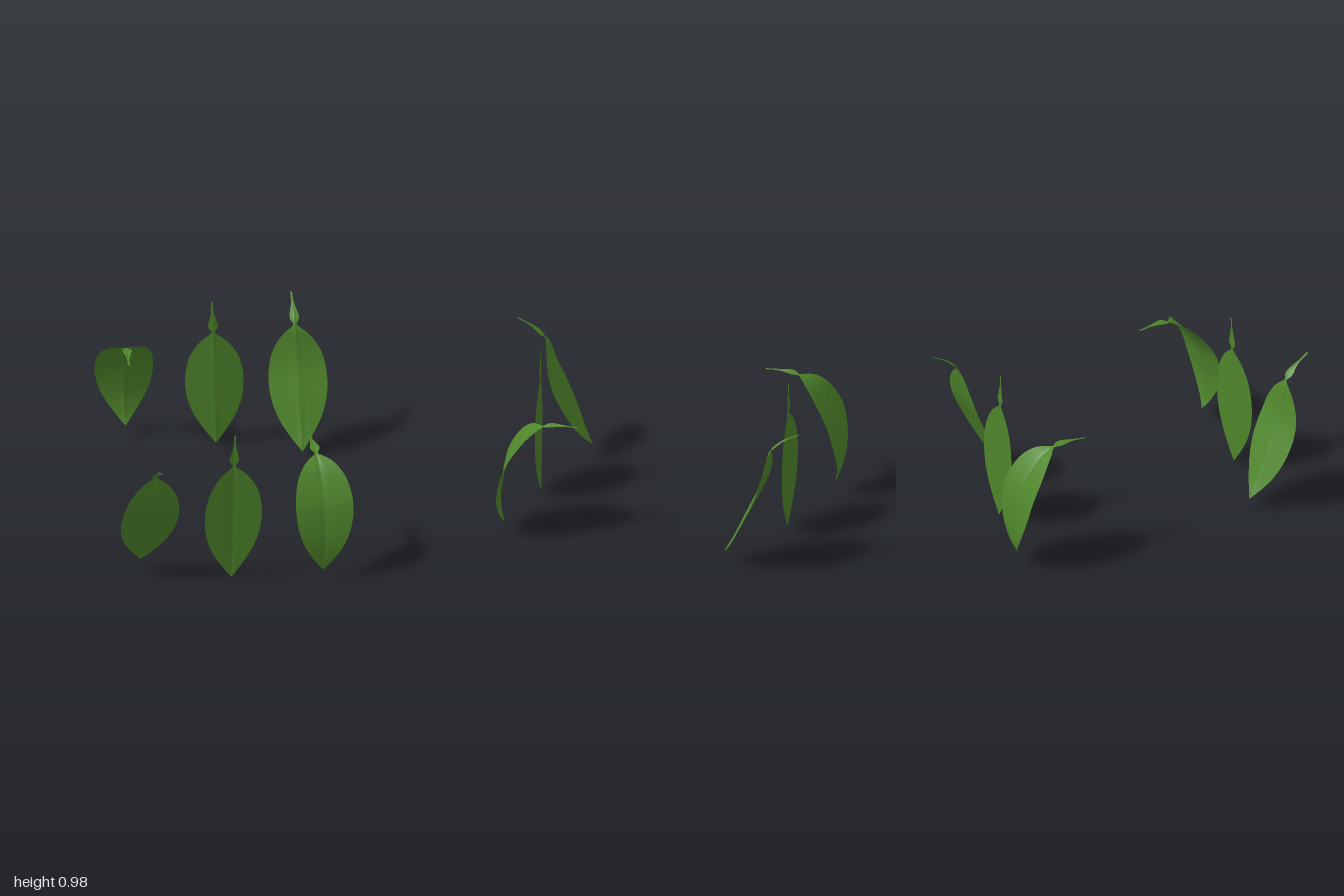
import * as THREE from 'three';

// leaf outline: [distance along the spine 0..1, half width]
const OUTLINE = [
  [0, 0.006], [0.07, 0.008], [0.12, 0.018], [0.165, 0.029], [0.19, 0.024], [0.215, 0.01],
  [0.235, 0.026], [0.27, 0.066], [0.32, 0.107], [0.4, 0.148], [0.5, 0.17], [0.58, 0.174],
  [0.66, 0.167], [0.74, 0.148], [0.82, 0.116], [0.9, 0.07], [0.96, 0.03], [1, 0.002],
];

// positions across the blade, with a narrow groove at the midrib
const ACROSS = [-1, -0.7, -0.35, -0.05, 0, 0.05, 0.35, 0.7, 1];

// spines from stem tip to leaf tip, as [y, z]
const LEAVES = [
  {
    name: 'fallingLeaf', x: -0.49,
    spine: [[0.912, 0.2], [0.85, 0.095], [0.78, 0.03], [0.66, 0], [0.545, -0.03],
      [0.36, -0.11], [0.17, -0.195], [0.075, -0.245]],
  },
  { name: 'straightLeaf', x: 0, spine: [[0.985, 0], [0.75, 0], [0.4, 0], [0.02, 0]] },
  {
    name: 'archingLeaf', x: 0.522,
    spine: [[0.75, -0.29], [0.757, -0.2], [0.748, -0.1], [0.695, 0], [0.52, 0.12],
      [0.36, 0.163], [0.25, 0.175], [0.14, 0.168], [0.08, 0.15]],
  },
];

function leafGeometry(spine) {
  const last = spine.length - 1;
  const curve = new THREE.CatmullRomCurve3(
    spine.map(([y, z], i) => new THREE.Vector3(-0.024 * i / last, y, z)), false, 'centripetal');
  curve.arcLengthDivisions = 400;
  const rows = new THREE.SplineCurve(OUTLINE.map(p => new THREE.Vector2(...p))).getPoints(85);
  const side = new THREE.Vector3(1, 0, 0);
  const positions = [], indices = [];
  const n = ACROSS.length;

  rows.forEach((row, i) => {
    const s = THREE.MathUtils.clamp(row.x, 0, 1);
    const w = Math.max(row.y, 0.002);
    const centre = curve.getPointAt(s);
    const normal = curve.getTangentAt(s).cross(side).normalize();
    for (const u of ACROSS) {
      // edges lift slightly, midrib sinks
      const lift = 0.07 * w * Math.abs(u) - (u === 0 ? Math.min(0.005, w * 0.3) : 0);
      const p = centre.clone().addScaledVector(side, u * w).addScaledVector(normal, lift);
      positions.push(p.x, p.y, p.z);
    }
    if (i === 0) return;
    for (let j = 0; j < n - 1; j++) {
      const a = (i - 1) * n + j, b = i * n + j;
      indices.push(a, b, b + 1, a, b + 1, a + 1);
    }
  });

  const geometry = new THREE.BufferGeometry();
  geometry.setAttribute('position', new THREE.Float32BufferAttribute(positions, 3));
  geometry.setIndex(indices);
  geometry.computeVertexNormals();
  return geometry;
}

export function createModel() {
  const leafGreen = new THREE.MeshStandardMaterial({ color: 0x4f862b, side: THREE.DoubleSide });
  leafGreen.name = 'leafGreen';
  const geometries = LEAVES.map(leaf => leafGeometry(leaf.spine));

  // one row of three leaves
  const leafRow = (name, x, y, z, turn) => {
    const row = new THREE.Group();
    row.name = name;
    LEAVES.forEach((leaf, i) => {
      const mesh = new THREE.Mesh(geometries[i], leafGreen);
      mesh.name = leaf.name;
      mesh.position.x = leaf.x;
      row.add(mesh);
    });
    row.position.set(x, y, z);
    row.rotation.y = turn;
    return row;
  };

  const model = new THREE.Group();
  model.name = 'leaves';
  model.add(
    leafRow('frontLeaves', -0.015, -0.015, 0.73, 0.15),
    leafRow('backLeaves', 0, 0, -0.8, Math.PI),
  );
  return model;
}
